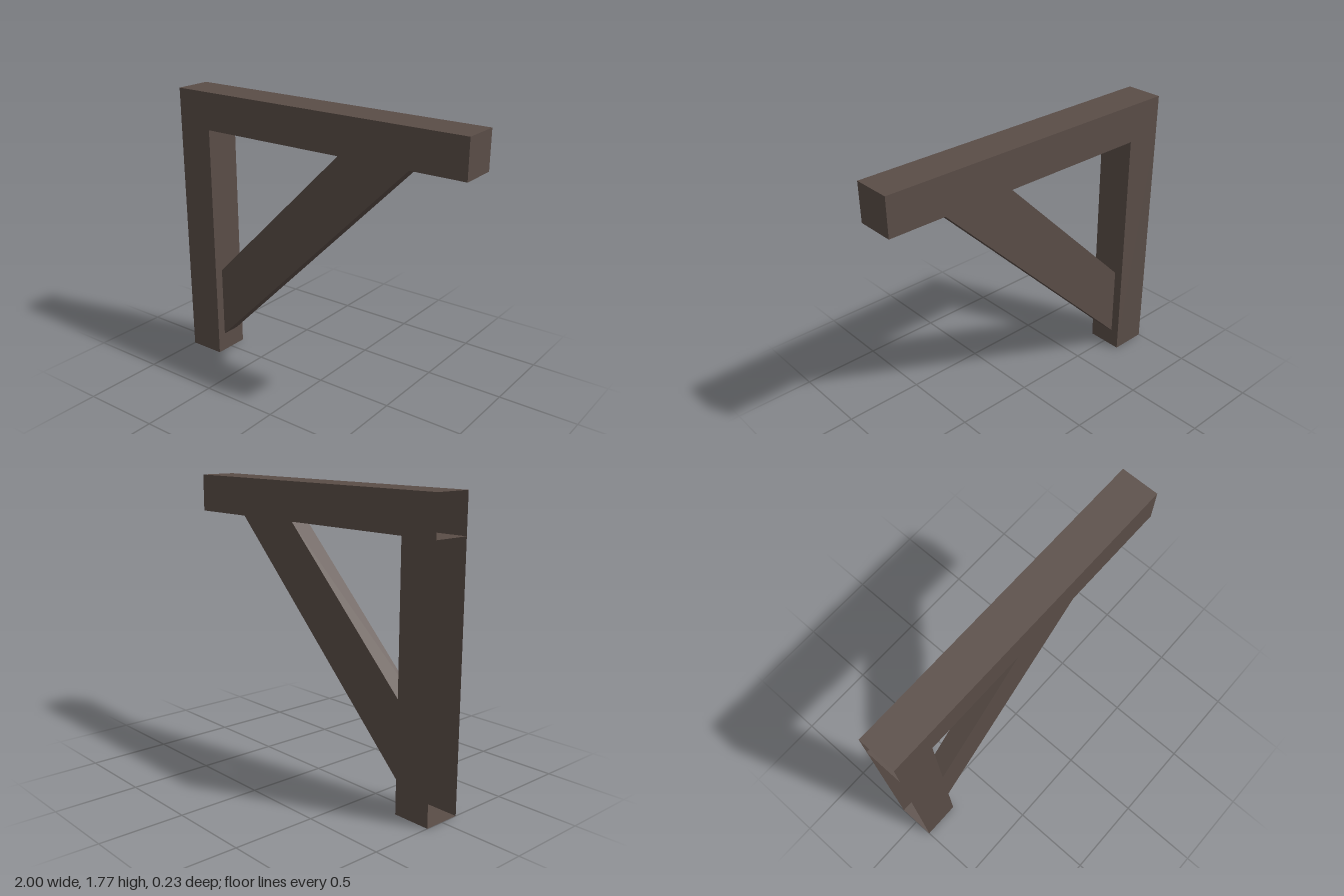
import * as THREE from 'three';

const SECTION = 0.233; // square timber size
const HEIGHT = 1.766;
const UNDER = HEIGHT - SECTION; // underside of the beam
const INNER = -1 + SECTION; // inner face of the post
const SIDES = ['right', 'left', 'top', 'bottom', 'front', 'back'];

// Box shell with the named sides left open
function openBox(w, h, d, open) {
  const geometry = new THREE.BoxGeometry(w, h, d);
  const index = Array.from(geometry.index.array);
  geometry.setIndex(index.filter((_, i) => !open.includes(SIDES[Math.floor(i / 6)])));
  geometry.clearGroups();
  return geometry;
}

export function createModel() {
  const group = new THREE.Group();
  group.name = 'bracket';
  const wood = new THREE.MeshStandardMaterial({ color: 0x5a4d47, side: THREE.DoubleSide });
  wood.name = 'dark brown wood';

  const add = (name, geometry, x = 0, y = 0) => {
    const mesh = new THREE.Mesh(geometry, wood);
    mesh.name = name;
    mesh.position.set(x, y, 0);
    group.add(mesh);
  };

  // Horizontal beam and upright post, hollow and open on the wall side
  add('beam', openBox(2, SECTION, SECTION, ['left']), 0, HEIGHT - SECTION / 2);
  add('post', openBox(SECTION, UNDER, SECTION, ['left', 'top']), -1 + SECTION / 2, UNDER / 2);

  // Diagonal brace: a thinner box whose ends are mitred against post and beam
  const brace = openBox(1, 1, 0.12, ['left', 'right']);
  const p = brace.attributes.position;
  for (let i = 0; i < p.count; i++) {
    const upper = p.getY(i) > 0;
    if (p.getX(i) < 0) p.setXY(i, INNER, upper ? 0.585 : 0.12);
    else p.setXY(i, upper ? 0.181 : 0.646, UNDER);
  }
  brace.computeVertexNormals();
  add('brace', brace);

  return group;
}
